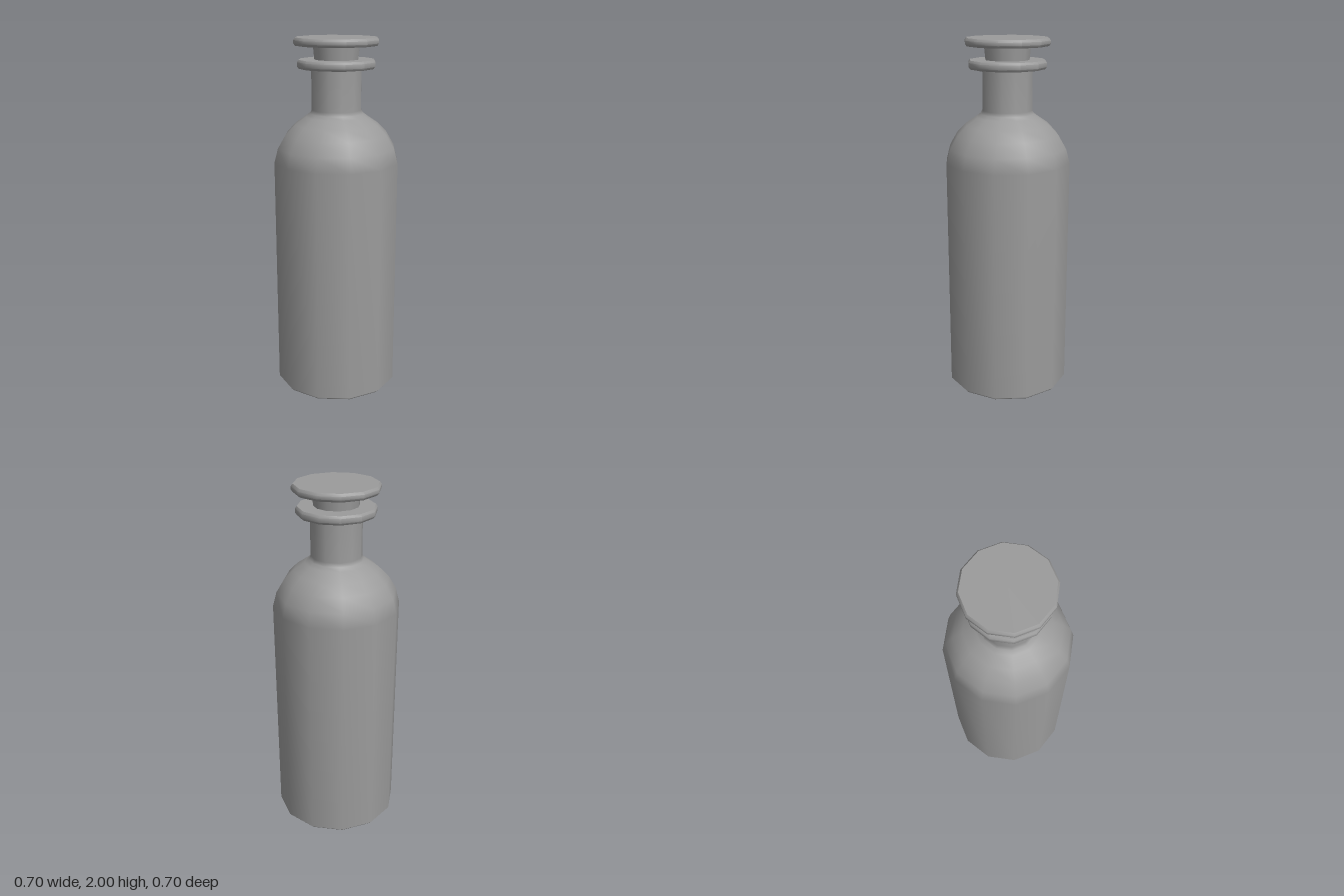
import * as THREE from 'three';
import { toCreasedNormals } from 'three/addons/utils/BufferGeometryUtils.js';

const SIDES = 12;

// Twelve-sided turned shape from [radius, height] pairs, bottom to top
function turned(profile) {
  return new THREE.LatheGeometry(profile.map(([r, y]) => new THREE.Vector2(r, y)), SIDES);
}

export function createModel() {
  const group = new THREE.Group();
  group.name = 'stopperedBottle';
  const material = new THREE.MeshStandardMaterial({ color: 0x9b9b9b });

  const add = (name, geometry) => {
    const mesh = new THREE.Mesh(geometry, material);
    mesh.name = name;
    group.add(mesh);
  };

  // Smooth body with softened base, rounded shoulder and straight neck
  add('bottleBody', turned([
    [0, 0], [0.342, 0], [0.352, 0.012], [0.352, 1.325],
    [0.331, 1.405], [0.288, 1.478], [0.235, 1.532], [0.172, 1.575],
    [0.15, 1.592], [0.14, 1.612], [0.14, 1.845],
  ]));

  // Lip ring around the mouth: flat faces, rounded rim
  add('lip', toCreasedNormals(turned([
    [0.13, 1.836], [0.208, 1.836], [0.217, 1.848],
    [0.217, 1.871], [0.208, 1.883], [0.11, 1.883],
  ]), 0.75));

  // Tapered plug of the stopper, seated in the neck
  add('stopperPlug', turned([[0.119, 1.85], [0.13, 1.962]]));

  // Stopper disc: flat faces, rounded rim
  add('stopperCap', toCreasedNormals(turned([
    [0, 1.957], [0.226, 1.957], [0.236, 1.97],
    [0.236, 1.987], [0.226, 2], [0, 2],
  ]), 0.75));

  return group;
}
